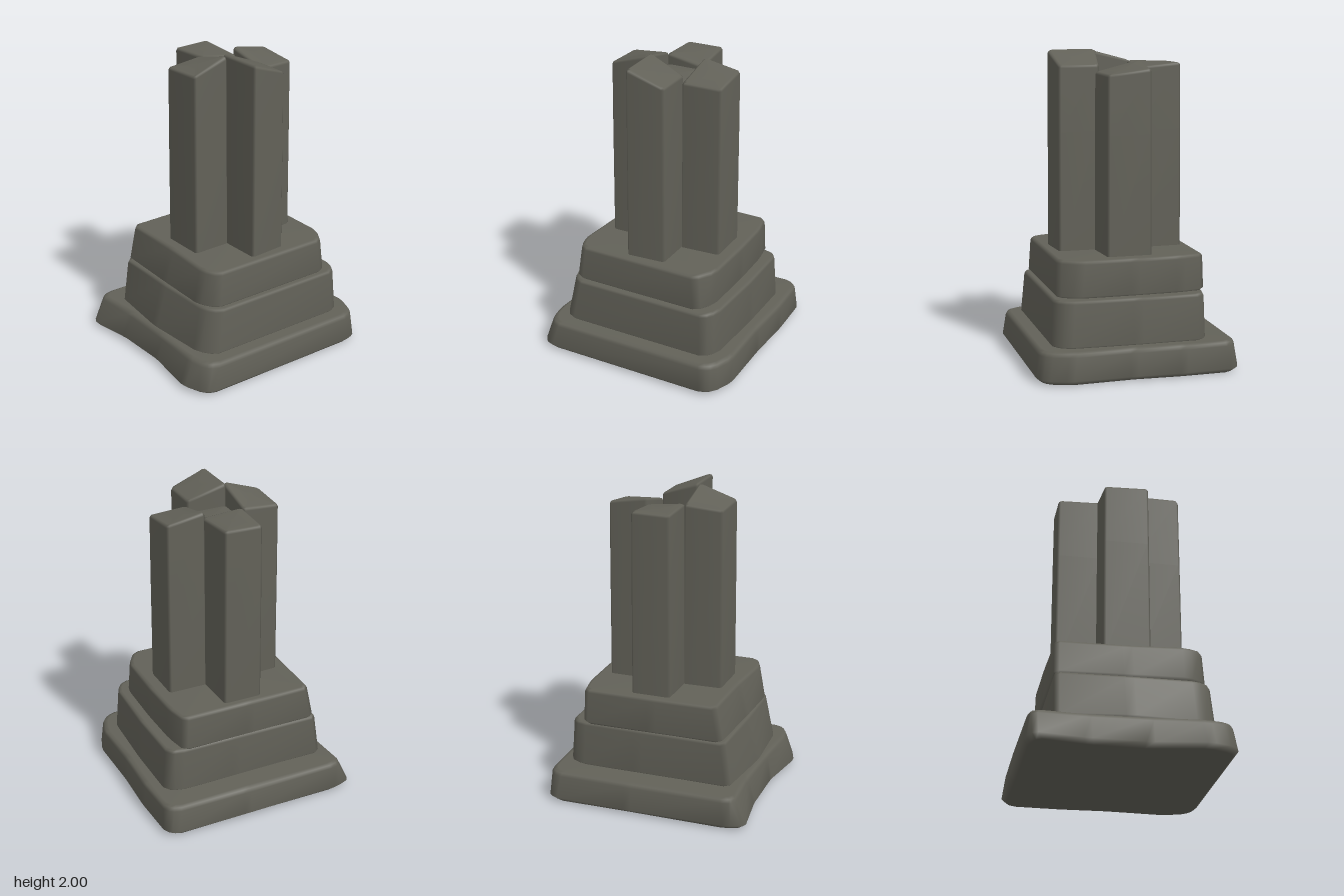
import * as THREE from 'three';

const stone = new THREE.MeshStandardMaterial({ color: 0x626158 });
stone.name = 'weathered stone';

// Replace every corner [x, z, y] of an outline by two points, r along its edges
function chamfer(pts, r) {
  const n = pts.length, out = [];
  pts.forEach((p, i) => {
    for (const q of [pts[(i + n - 1) % n], pts[(i + 1) % n]]) {
      const t = Math.min(0.4, r / Math.hypot(q[0] - p[0], q[1] - p[1]));
      out.push(p.map((v, k) => v + (q[k] - v) * t));
    }
  });
  return out;
}

function centre(pts) {
  return pts[0].map((_, k) => pts.reduce((s, p) => s + p[k], 0) / pts.length);
}

// Pull an outline towards its centre by b and shift it by dy
function inset(pts, b, dy) {
  const c = centre(pts);
  return pts.map(([x, z, y]) => {
    const t = b / Math.hypot(x - c[0], z - c[1]);
    return [x + (c[0] - x) * t, z + (c[1] - z) * t, y + dy];
  });
}

// Loft through rings from bottom to top and close both ends
function loft(rings) {
  const n = rings[0].length, last = (rings.length - 1) * n;
  const pos = [], idx = [];
  const add = ([x, z, y]) => pos.push(x, y, z);
  rings.forEach(r => r.forEach(add));
  add(centre(rings[0]));
  add(centre(rings[rings.length - 1]));
  const lo = last + n, hi = lo + 1;
  for (let i = 0; i < n; i++) {
    const j = (i + 1) % n;
    for (let k = 0; k < last; k += n) {
      idx.push(k + i, k + n + i, k + j, k + j, k + n + i, k + n + j);
    }
    idx.push(i, j, lo, last + j, last + i, hi);
  }
  const g = new THREE.BufferGeometry();
  g.setAttribute('position', new THREE.Float32BufferAttribute(pos, 3));
  g.setIndex(idx);
  g.computeVertexNormals();
  return g;
}

// Block with softened edges between two outlines of [x, z, y] corners
function block(name, bottom, top, r, bevel, mids = []) {
  const lower = chamfer(bottom, r), upper = chamfer(top, r);
  const mesh = new THREE.Mesh(loft([
    inset(lower, bevel * 1.3, 0),
    inset(lower, 0, bevel),
    ...mids.map(m => chamfer(m, r)),
    inset(upper, 0, -bevel),
    inset(upper, bevel * 0.4, -bevel * 0.3),
    inset(upper, bevel * 1.3, 0),
  ]), stone);
  mesh.name = name;
  return mesh;
}

const at = (pts, y) => pts.map(([x, z]) => [x, z, y]);

export function createModel() {
  const model = new THREE.Group();
  model.name = 'brokenPillar';

  // Three stacked, uneven plinth slabs
  model.add(block('lowerPlinth',
    at([[-0.68, -0.59], [-0.57, -0.635], [0.1, -0.65], [0.61, -0.65], [0.665, -0.6], [0.68, -0.27],
      [0.67, 0.05], [0.68, 0.46], [0.63, 0.6], [0.56, 0.645], [-0.58, 0.645], [-0.635, 0.6],
      [-0.685, 0.46], [-0.63, 0.1], [-0.635, -0.27]], 0.005),
    at([[-0.61, -0.59], [-0.55, -0.62], [0.1, -0.63], [0.59, -0.63], [0.655, -0.58], [0.67, -0.27],
      [0.66, 0.05], [0.67, 0.44], [0.62, 0.58], [0.55, 0.63], [-0.54, 0.63], [-0.6, 0.57],
      [-0.62, 0.45], [-0.6, 0.1], [-0.59, -0.27]], 0.21), 0.025, 0.03));
  model.add(block('middlePlinth',
    at([[-0.525, -0.455], [0.1, -0.465], [0.5, -0.465], [0.585, -0.42], [0.59, 0], [0.575, 0.45],
      [0.51, 0.535], [-0.48, 0.535], [-0.55, 0.43], [-0.575, 0]], 0.2),
    at([[-0.49, -0.455], [0.1, -0.455], [0.49, -0.455], [0.565, -0.42], [0.575, 0], [0.56, 0.43],
      [0.5, 0.52], [-0.43, 0.52], [-0.495, 0.42], [-0.5, 0]], 0.505), 0.03, 0.02));
  model.add(block('upperPlinth',
    at([[-0.47, -0.455], [0, -0.465], [0.47, -0.465], [0.5, -0.3], [0.51, 0], [0.505, 0.37],
      [0.44, 0.49], [-0.43, 0.49], [-0.5, 0.37], [-0.49, 0]], 0.495),
    at([[-0.43, -0.45], [0, -0.46], [0.46, -0.46], [0.495, -0.3], [0.505, 0], [0.5, 0.35],
      [0.42, 0.48], [-0.41, 0.48], [-0.46, 0.37], [-0.435, 0]], 0.74), 0.03, 0.022));

  // Five upright shafts with broken, sloping tops: corners are x, z, top height
  const shafts = {
    backShaft: [[-0.1, -0.4, 1.92], [0.15, -0.4, 1.925], [0.16, -0.085, 1.9], [-0.1, -0.11, 1.93]],
    rightShaft: [[-0.35, -0.13, 1.91], [-0.1, -0.14, 1.93], [-0.095, 0.155, 2.0], [-0.35, 0.16, 1.92]],
    leftShaft: [[0.155, -0.13, 1.945], [0.41, -0.13, 1.905], [0.413, 0.15, 1.875], [0.155, 0.17, 1.88]],
    frontShaft: [[-0.1, 0.1, 2.005], [0.155, 0.14, 1.92], [0.155, 0.4, 1.92], [-0.095, 0.42, 2.005]],
    coreShaft: [[-0.1, -0.125, 1.86], [0.16, -0.085, 1.88], [0.16, 0.15, 1.84], [-0.1, 0.11, 1.86]],
  };
  for (const [name, top] of Object.entries(shafts)) {
    const low = inset(top, -0.006, 0);
    model.add(block(name, at(low, 0.7), top, 0.014, 0.018, [at(inset(top, -0.003, 0), 1.5)]));
  }
  return model;
}
